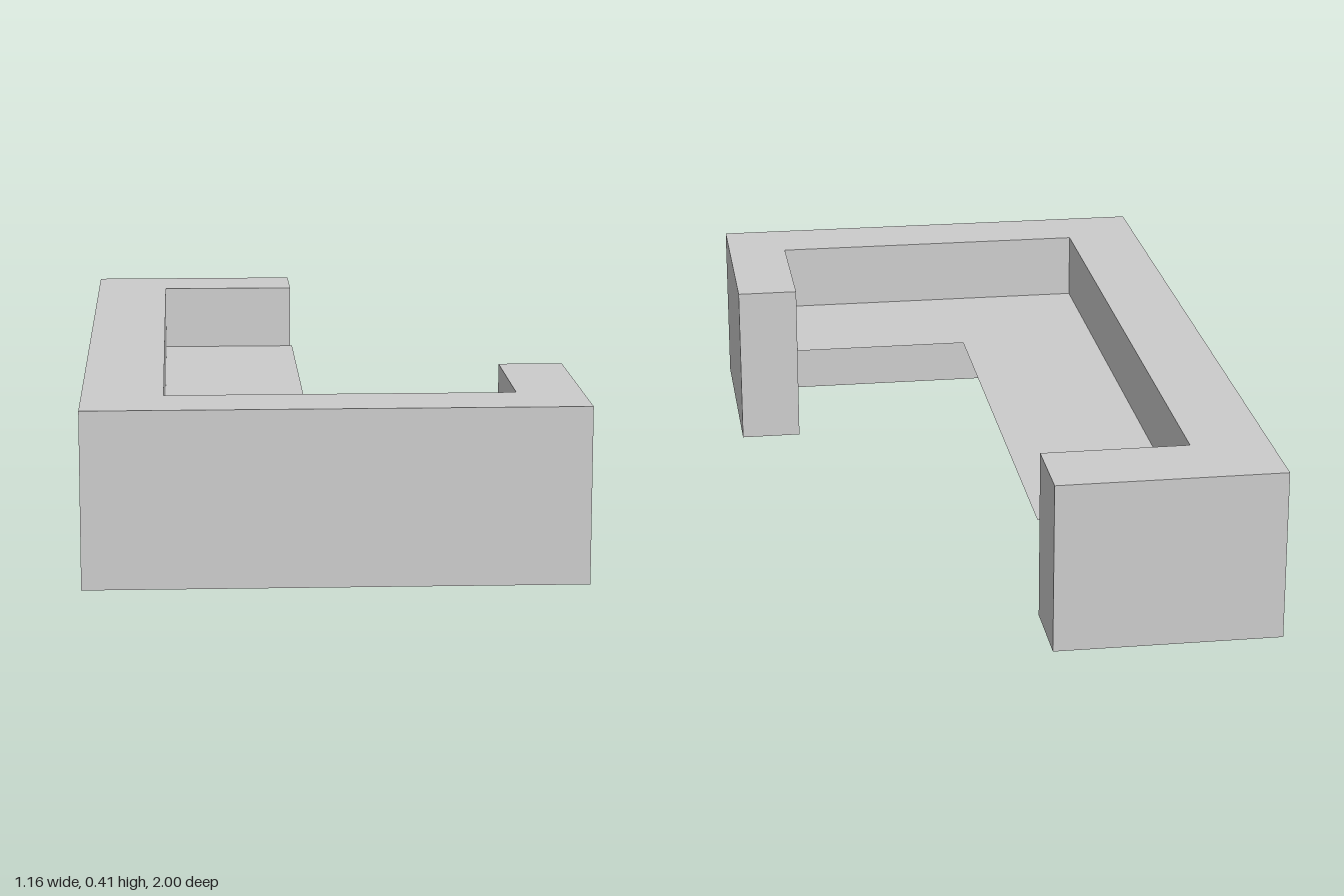
import * as THREE from 'three';

const HEIGHT = 0.414;
const SHEET_Y = 0.246;

// Plan outline given as [x, z]; shape y is -z so that it can be laid flat
function planShape(points) {
  return new THREE.Shape(points.map(([x, z]) => new THREE.Vector2(x, -z)));
}

export function createModel() {
  const model = new THREE.Group();
  model.name = 'lShapedBuilding';

  // Wall running around the outer sides, open along the inner notch
  const wallShape = planShape([
    [-0.58, 1], [0.58, 1], [0.58, 0.45], [0.425, 0.45], [0.425, 0.82],
    [-0.39, 0.82], [-0.39, -0.8], [-0.035, -0.8], [-0.035, -1], [-0.58, -1],
  ]);
  const wallGeometry = new THREE.ExtrudeGeometry(wallShape, { depth: HEIGHT, bevelEnabled: false });
  wallGeometry.rotateX(-Math.PI / 2);
  const wall = new THREE.Mesh(wallGeometry, new THREE.MeshStandardMaterial({ color: 0xcccccc, flatShading: true }));
  wall.name = 'outerWall';
  model.add(wall);

  // Thin L-shaped floor held between the walls
  const floorShape = planShape([
    [-0.39, 0.82], [0.425, 0.82], [0.425, 0.445], [-0.03, 0.445], [-0.03, -0.8], [-0.39, -0.8],
  ]);
  const floorGeometry = new THREE.ShapeGeometry(floorShape);
  floorGeometry.rotateX(-Math.PI / 2);
  const floor = new THREE.Mesh(
    floorGeometry,
    new THREE.MeshStandardMaterial({ color: 0xcccccc, side: THREE.DoubleSide }),
  );
  floor.name = 'floorSheet';
  floor.position.y = SHEET_Y;
  model.add(floor);

  return model;
}
